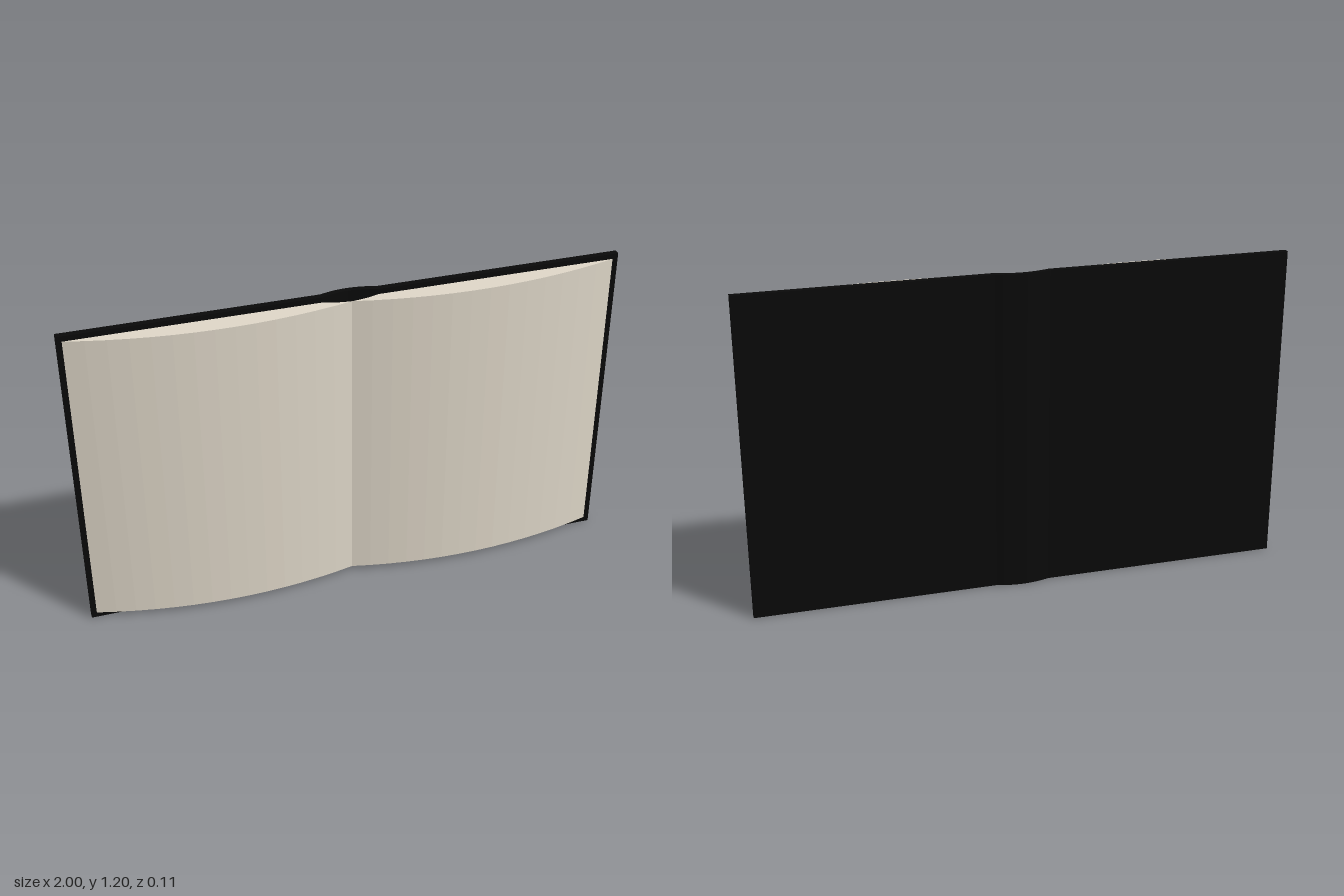
import * as THREE from 'three';

const coverMaterial = new THREE.MeshStandardMaterial({ color: 0x0a0a0a });
const pageMaterial = new THREE.MeshStandardMaterial({ color: 0xe2dacb });

// Stands a plan-view outline (x, -z) upright between two heights
function upright(name, shape, bottom, top, material) {
  const geometry = new THREE.ExtrudeGeometry(shape, {
    depth: top - bottom, bevelEnabled: false, curveSegments: 14,
  });
  geometry.rotateX(-Math.PI / 2);
  const mesh = new THREE.Mesh(geometry, material);
  mesh.position.y = bottom;
  mesh.name = name;
  return mesh;
}

// Half of the page block: bulging front, back flat on the board, curling up to the gutter
function pageShape(s) {
  const shape = new THREE.Shape();
  shape.moveTo(0, -0.003);
  shape.quadraticCurveTo(s * 0.485, -0.116, s * 0.98, 0.018);
  shape.lineTo(s * 0.1, 0.018);
  shape.quadraticCurveTo(s * 0.06, 0.002, 0, -0.003);
  return shape;
}

export function createModel() {
  const book = new THREE.Group();
  book.name = 'openBook';

  // Cover boards and page blocks on both sides
  for (const [side, s] of [['left', 1], ['right', -1]]) {
    const board = new THREE.Mesh(new THREE.BoxGeometry(0.9, 1.2, 0.022), coverMaterial);
    board.position.set(s * 0.55, 0.6, -0.029);
    board.name = side + 'Cover';
    book.add(board, upright(side + 'Pages', pageShape(s), 0.02, 1.18, pageMaterial));
  }

  // Spine arching backward between the boards
  const spine = new THREE.Shape();
  spine.moveTo(-0.1, 0.018);
  spine.lineTo(-0.1, 0.04);
  spine.quadraticCurveTo(0, 0.073, 0.1, 0.04);
  spine.lineTo(0.1, 0.018);
  spine.quadraticCurveTo(0, 0.056, -0.1, 0.018);
  book.add(upright('spine', spine, 0, 1.2, coverMaterial));

  return book;
}
